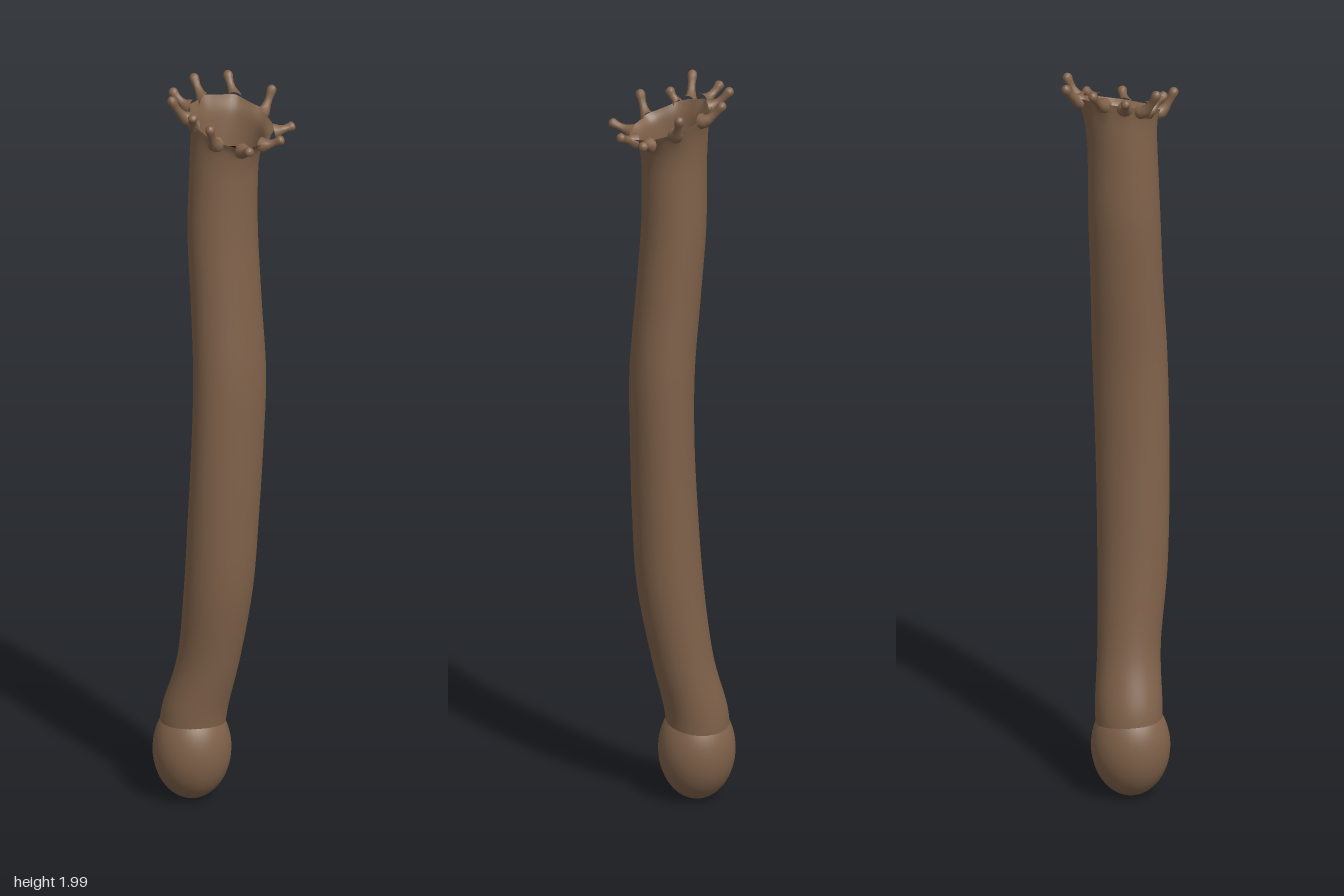
import * as THREE from 'three';

const V = (x, y, z) => new THREE.Vector3(x, y, z);
const skin = new THREE.MeshStandardMaterial({ color: 0x80624a });
skin.name = 'brown skin';
const dark = new THREE.MeshStandardMaterial({ color: 0x0a0a0a });
dark.name = 'dark inside';

// Tentacles around the mouth: base x, base z, tip x, tip y, tip z
const TENTACLES = [
  [0.0, -0.12, -0.006, 1.965, -0.158],
  [0.075, -0.112, 0.092, 1.885, -0.152],
  [0.108, -0.04, 0.147, 1.885, -0.07],
  [0.108, 0.035, 0.16, 1.885, 0.053],
  [0.058, 0.09, 0.075, 1.945, 0.122],
  [-0.025, 0.097, 0.0, 1.95, 0.116],
  [-0.056, 0.093, -0.066, 1.988, 0.14],
  [-0.096, 0.06, -0.137, 1.975, 0.08],
  [-0.104, -0.002, -0.156, 1.988, -0.01],
  [-0.078, -0.088, -0.128, 1.982, -0.102],
];
const RIM = V(0.005, 1.905, -0.01), SLOPE = -0.35;
const rimAngles = TENTACLES.map(([x, z]) => Math.atan2(z - RIM.z, x - RIM.x));

// Scalloped lip: swells outward where a tentacle grows
const scallop = a => rimAngles.reduce((s, r) => {
  const d = Math.atan2(Math.sin(a - r), Math.cos(a - r));
  return s + Math.exp(-d * d / 0.03);
}, 0);

// Smooth skin over rings { c: centre, u, v: half axes, lip: scallop amount }
function loft(rings, sides) {
  const pos = [], index = [];
  rings.forEach(({ c, u, v, lip = 0 }, j) => {
    for (let i = 0; i < sides; i++) {
      const a = i / sides * Math.PI * 2;
      const k = 1 + (lip ? lip * (scallop(a) - 0.5) : 0);
      const p = c.clone().addScaledVector(u, Math.cos(a) * k).addScaledVector(v, Math.sin(a) * k);
      pos.push(p.x, p.y, p.z);
      if (j === 0) continue;
      const n = (i + 1) % sides, lo = (j - 1) * sides, hi = j * sides;
      index.push(lo + i, hi + i, lo + n, lo + n, hi + i, hi + n);
    }
  });
  const g = new THREE.BufferGeometry();
  g.setAttribute('position', new THREE.Float32BufferAttribute(pos, 3));
  g.setIndex(index);
  g.computeVertexNormals();
  return g;
}

// Rings from rows of [x, y, z, radius x, radius z, slope, lip]
function bodyRings(rows, steps) {
  const curve = f => new THREE.CatmullRomCurve3(rows.map(f), false, 'catmullrom', 0.5);
  const centre = curve(r => V(r[0], r[1], r[2]));
  const size = curve(r => V(r[3], r[4], r[5]));
  const lips = curve(r => V(r[6] || 0, 0, 0));
  return Array.from({ length: steps + 1 }, (_, i) => {
    const t = i / steps, s = size.getPoint(t);
    return {
      c: centre.getPoint(t), u: V(s.x, s.z * s.x, 0), v: V(0, 0, s.y),
      lip: Math.max(0, lips.getPoint(t).x),
    };
  });
}

// Tapered tentacle with a broad root and a rounded knob
function tentacle([bx, bz, tx, ty, tz]) {
  const by = RIM.y + SLOPE * (bx - RIM.x);
  const base = V(bx, by - 0.006, bz), tip = V(tx, ty, tz);
  const root = base.clone().lerp(V(RIM.x, by - 0.03, RIM.z), 0.1);
  const mid = base.clone().lerp(tip, 0.5);
  mid.y -= (ty - by) * 0.12;
  const path = new THREE.CatmullRomCurve3([root, base, mid, tip]);
  const profile = [[0, 0.021], [0.15, 0.018], [0.3, 0.013], [0.45, 0.0105], [0.6, 0.01],
    [0.74, 0.0115], [0.85, 0.013], [0.93, 0.011], [0.98, 0.006], [1, 0.0004]];
  return loft(profile.map(([t, r]) => {
    const d = path.getTangentAt(t);
    const u = V(-d.z, 0, d.x).normalize();
    const v = u.clone().cross(d);
    return { c: path.getPointAt(t), u: u.multiplyScalar(r), v: v.multiplyScalar(r) };
  }), 12);
}

export function createModel() {
  const model = new THREE.Group();
  const add = (name, geometry, material = skin, parent = model) => {
    const mesh = new THREE.Mesh(geometry, material);
    mesh.name = name;
    parent.add(mesh);
    return mesh;
  };

  // Swollen foot
  const foot = add('footBulb', new THREE.SphereGeometry(1, 40, 28));
  foot.scale.set(0.101, 0.138, 0.104);
  foot.position.set(-0.07, 0.138, 0.062);

  // Long, gently bent tube flaring to a slanted mouth
  const stem = [
    [-0.075, 0.15, 0.06, 0.082, 0.085, 0],
    [-0.067, 0.25, 0.055, 0.083, 0.089, 0],
    [-0.03, 0.4, 0.038, 0.081, 0.083, 0],
    [0.002, 0.6, 0.032, 0.087, 0.092, 0],
    [0.016, 0.8, 0.027, 0.086, 0.097, 0],
    [0.024, 1.0, 0.02, 0.084, 0.1, 0],
    [0.025, 1.2, 0.013, 0.085, 0.101, 0],
    [0.01, 1.4, 0.012, 0.085, 0.097, 0],
    [-0.005, 1.6, 0.012, 0.085, 0.096, 0],
    [-0.006, 1.76, 0.008, 0.085, 0.093, -0.02],
  ];
  const flare = [
    [-0.004, 1.83, 0.003, 0.089, 0.094, -0.12],
    [0.0, 1.875, -0.004, 0.096, 0.1, -0.25, 0.02],
    [RIM.x, RIM.y, RIM.z, 0.109, 0.11, SLOPE, 0.08],
  ];
  add('bodyTube', loft(bodyRings([...stem, ...flare], 96), 64));

  // Inner face of the mouth, down to the throat
  const throat = [0.0, 1.8, 0.0, 0.076, 0.086, -0.05];
  add('mouthFunnel', loft(bodyRings([
    flare[2],
    [0.002, 1.878, -0.006, 0.09, 0.096, -0.26, 0.02],
    [0.0, 1.84, -0.003, 0.08, 0.09, -0.14],
    throat,
  ], 18), 64));

  // Dark hollow following the bends of the tube
  const hollow = stem.slice(2, 9).reverse()
    .map(([x, y, z, rx, rz]) => [x, y, z, rx - 0.008, rz - 0.008, 0]);
  add('hollow', loft(bodyRings([throat, ...hollow, [-0.03, 0.38, 0.038, 0.0005, 0.0005, 0]], 48), 48), dark);

  // Ring of knobbed tentacles
  const crown = new THREE.Group();
  crown.name = 'tentacleCrown';
  model.add(crown);
  TENTACLES.forEach((t, i) => add(`tentacle${i + 1}`, tentacle(t), skin, crown));

  return model;
}
